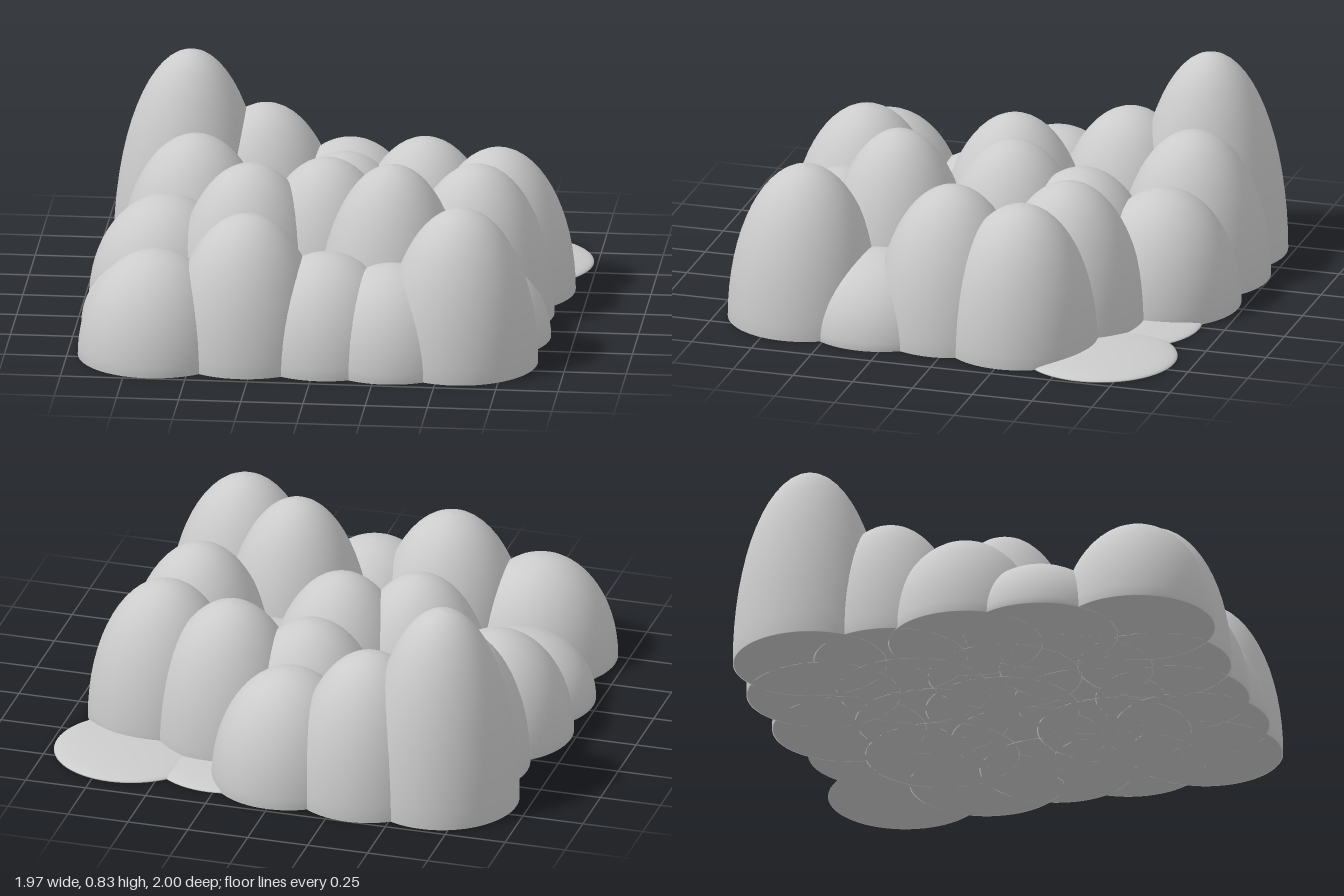
import * as THREE from 'three';

const RADIUS = 0.31;

// Half-ellipsoid profile with a flat base, revolved about y
function domeGeometry(height) {
  const points = [new THREE.Vector2(0, 0), new THREE.Vector2(RADIUS * 0.98, 0)];
  const steps = 16;
  for (let i = 0; i <= steps; i++) {
    const a = (i / steps) * Math.PI / 2;
    points.push(new THREE.Vector2(i === steps ? 0 : RADIUS * Math.cos(a), height * Math.sin(a)));
  }
  return new THREE.LatheGeometry(points, 64);
}

// Five rows from back to front, each dome as [x, z, height]
const ROWS = [
  [[-0.64, -0.67, 0.83], [-0.34, -0.69, 0.605], [0, -0.67, 0.475], [0.27, -0.59, 0.03], [0.675, -0.61, 0.036]],
  [[-0.59, -0.35, 0.58], [-0.29, -0.33, 0.28], [0.01, -0.33, 0.53], [0.33, -0.37, 0.59], [0.635, -0.265, 0.59]],
  [[-0.675, -0.02, 0.43], [-0.33, 0.055, 0.6], [-0.03, -0.03, 0.605], [0.27, 0, 0.33], [0.58, 0.04, 0.62]],
  [[-0.675, 0.29, 0.28], [-0.33, 0.35, 0.16], [-0.02, 0.33, 0.2], [0.27, 0.355, 0.715], [0.595, 0.33, 0.32]],
  [[-0.65, 0.685, 0.435], [-0.285, 0.66, 0.59], [0.035, 0.655, 0.435], [0.3, 0.67, 0.4], [0.575, 0.655, 0.64]],
];

export function createModel() {
  const group = new THREE.Group();
  group.name = 'domeCluster';
  const material = new THREE.MeshStandardMaterial({ color: 0xcccccc });

  ROWS.forEach((row, r) => {
    const rowGroup = new THREE.Group();
    rowGroup.name = `domeRow${r + 1}`;
    row.forEach(([x, z, height], c) => {
      const dome = new THREE.Mesh(domeGeometry(height), material);
      dome.name = `dome${r + 1}_${c + 1}`;
      dome.position.set(x, 0, z);
      rowGroup.add(dome);
    });
    group.add(rowGroup);
  });
  return group;
}
